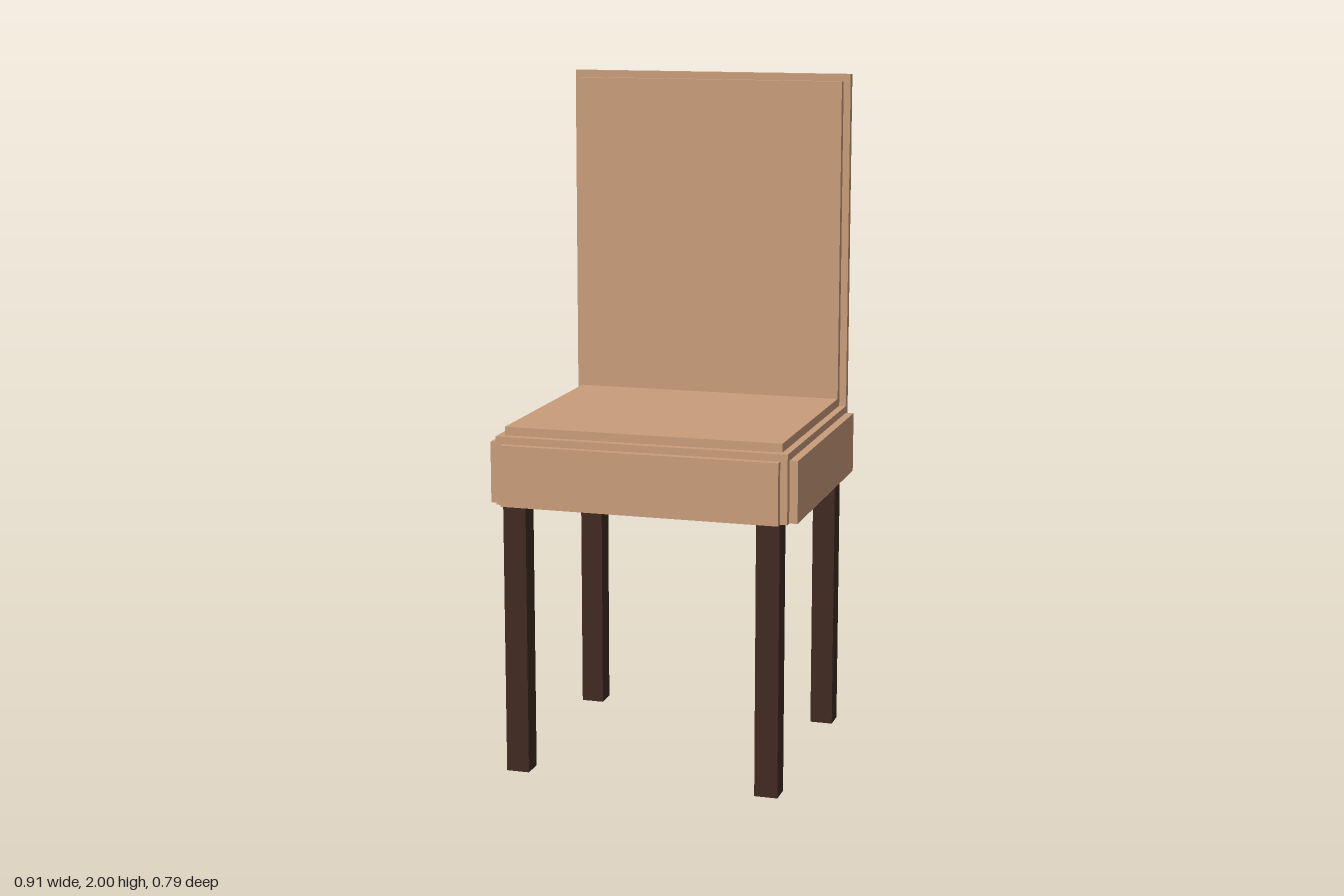
import * as THREE from 'three';

export function createModel() {
  const chair = new THREE.Group();
  chair.name = 'chair';

  const upholstery = new THREE.MeshStandardMaterial({ color: 0xc99c7a });
  upholstery.name = 'tan upholstery';
  const wood = new THREE.MeshStandardMaterial({ color: 0x402b21 });
  wood.name = 'dark wood';

  // Box given by its lower and upper extent on each axis
  function addBox(name, material, [x0, x1], [y0, y1], [z0, z1]) {
    const mesh = new THREE.Mesh(new THREE.BoxGeometry(x1 - x0, y1 - y0, z1 - z0), material);
    mesh.position.set((x0 + x1) / 2, (y0 + y1) / 2, (z0 + z1) / 2);
    mesh.name = name;
    chair.add(mesh);
  }

  const core = [-0.43, 0.43];
  const pad = [-0.409, 0.409];

  // Seat block with raised panels on its top, front and sides
  addBox('seatCore', upholstery, core, [0.8, 1.0], [-0.353, 0.375]);
  addBox('seatTopPad', upholstery, pad, [1.0, 1.025], [-0.353, 0.352]);
  addBox('seatFrontPad', upholstery, pad, [0.8, 0.979], [0.375, 0.397]);
  addBox('seatLeftPad', upholstery, [0.43, 0.454], [0.8, 0.979], [-0.353, 0.352]);
  addBox('seatRightPad', upholstery, [-0.454, -0.43], [0.8, 0.979], [-0.353, 0.352]);

  // Backrest board with raised panels on both faces
  addBox('backrestCore', upholstery, core, [0.8, 2.0], [-0.376, -0.353]);
  addBox('backrestFrontPad', upholstery, pad, [1.025, 1.979], [-0.353, -0.33]);
  addBox('backrestRearPad', upholstery, pad, [0.8, 1.979], [-0.397, -0.376]);

  // Four square legs
  for (const [side, x] of [['Left', 0.375], ['Right', -0.375]]) {
    for (const [end, z] of [['front', 0.342], ['rear', -0.342]]) {
      addBox(`${end}${side}Leg`, wood, [x - 0.034, x + 0.034], [0, 0.8], [z - 0.033, z + 0.033]);
    }
  }

  return chair;
}
